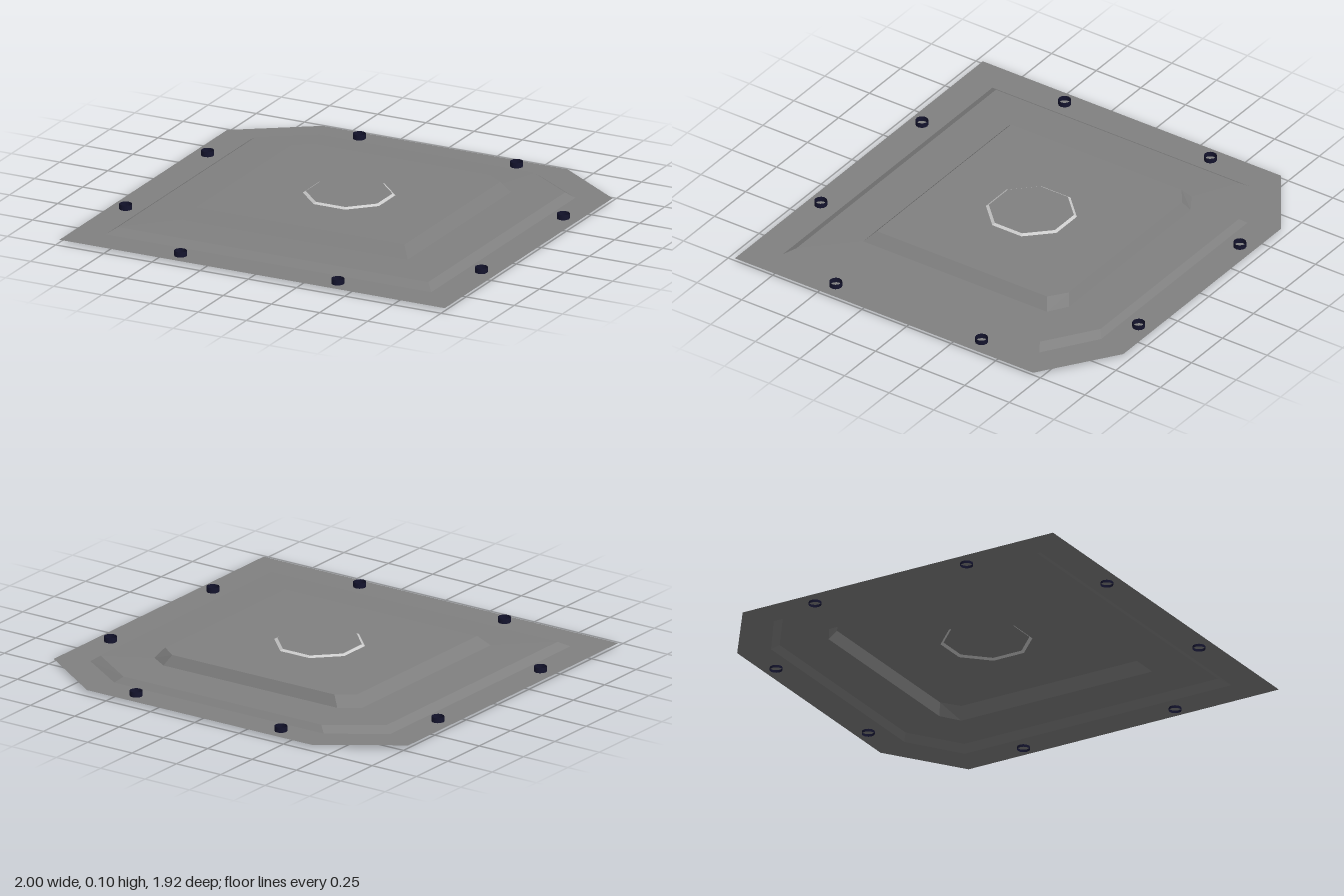
import * as THREE from 'three';

const sheetMat = new THREE.MeshStandardMaterial({ color: 0x808080, side: THREE.DoubleSide, flatShading: true });
const rimMat = new THREE.MeshStandardMaterial({ color: 0xcccccc, side: THREE.DoubleSide, flatShading: true });
const boltMat = new THREE.MeshStandardMaterial({ color: 0x14142e, side: THREE.DoubleSide });

// Square outline with the two back corners cut off, counter-clockwise from above
function outline(half, front, back, cutX, cutZ) {
  return [[-half, front], [half, front], [half, cutZ], [cutX, back], [-cutX, back], [-half, cutZ]];
}

// Regular octagon with flat sides facing the axes
function octagon(radius) {
  return Array.from({ length: 8 }, (_, i) => {
    const a = (i + 0.5) * Math.PI / 4;
    return [radius * Math.cos(a), -0.005 - radius * Math.sin(a)];
  });
}

// Band of quads joining an outer loop to an inner loop
function band(name, outer, y0, inner, y1, material) {
  const pos = [];
  outer.forEach((_, i) => {
    const j = (i + 1) % outer.length;
    const a = [outer[i][0], y0, outer[i][1]], b = [outer[j][0], y0, outer[j][1]];
    const c = [inner[j][0], y1, inner[j][1]], d = [inner[i][0], y1, inner[i][1]];
    pos.push(...a, ...b, ...c, ...a, ...c, ...d);
  });
  const geo = new THREE.BufferGeometry();
  geo.setAttribute('position', new THREE.Float32BufferAttribute(pos, 3));
  geo.computeVertexNormals();
  const mesh = new THREE.Mesh(geo, material);
  mesh.name = name;
  return mesh;
}

// Horizontal plate with an optional hole
function plate(name, loop, y, hole) {
  const points = (l) => l.map(([x, z]) => new THREE.Vector2(x, -z));
  const shape = new THREE.Shape(points(loop));
  if (hole) shape.holes.push(new THREE.Path(points(hole)));
  const mesh = new THREE.Mesh(new THREE.ShapeGeometry(shape).rotateX(-Math.PI / 2), sheetMat);
  mesh.position.y = y;
  mesh.name = name;
  return mesh;
}

export function createModel() {
  const model = new THREE.Group();
  model.name = 'embossedPanel';

  const edge = outline(1, 0.962, -0.962, 0.635, -0.71);
  const lowFoot = outline(0.845, 0.8, -0.807, 0.59, -0.637);
  const lowTop = outline(0.805, 0.753, -0.78, 0.558, -0.612);
  const highFoot = outline(0.584, 0.532, -0.557, 0.49, -0.497);
  const highTop = outline(0.542, 0.485, -0.533, 0.457, -0.47);
  const rimFoot = octagon(0.214), rimTop = octagon(0.2);

  // Pressed sheet, from the flange up to the centre
  model.add(
    band('flange', edge, 0.013, lowFoot, 0.013, sheetMat),
    band('lowerSlope', lowFoot, 0.013, lowTop, 0.041, sheetMat),
    band('lowerStep', lowTop, 0.041, highFoot, 0.043, sheetMat),
    band('upperSlope', highFoot, 0.043, highTop, 0.094, sheetMat),
    plate('upperStep', highTop, 0.094, rimFoot),
    band('centreRim', rimFoot, 0.094, rimTop, 0.102, rimMat),
    plate('centreDisc', rimTop, 0.102)
  );

  // Open bolt sleeves, two along each side of the flange
  const bolts = new THREE.Group();
  bolts.name = 'boltSleeves';
  const boltGeo = new THREE.CylinderGeometry(0.03, 0.03, 0.038, 12, 1, true);
  for (const side of [-1, 1]) {
    for (const [x, z] of [[0.408, 0.892], [0.408, -0.89], [0.923, 0.45], [0.923, -0.367]]) {
      const bolt = new THREE.Mesh(boltGeo, boltMat);
      bolt.name = 'boltSleeve';
      bolt.position.set(side * x, 0.019, z);
      bolts.add(bolt);
    }
  }
  model.add(bolts);
  return model;
}
